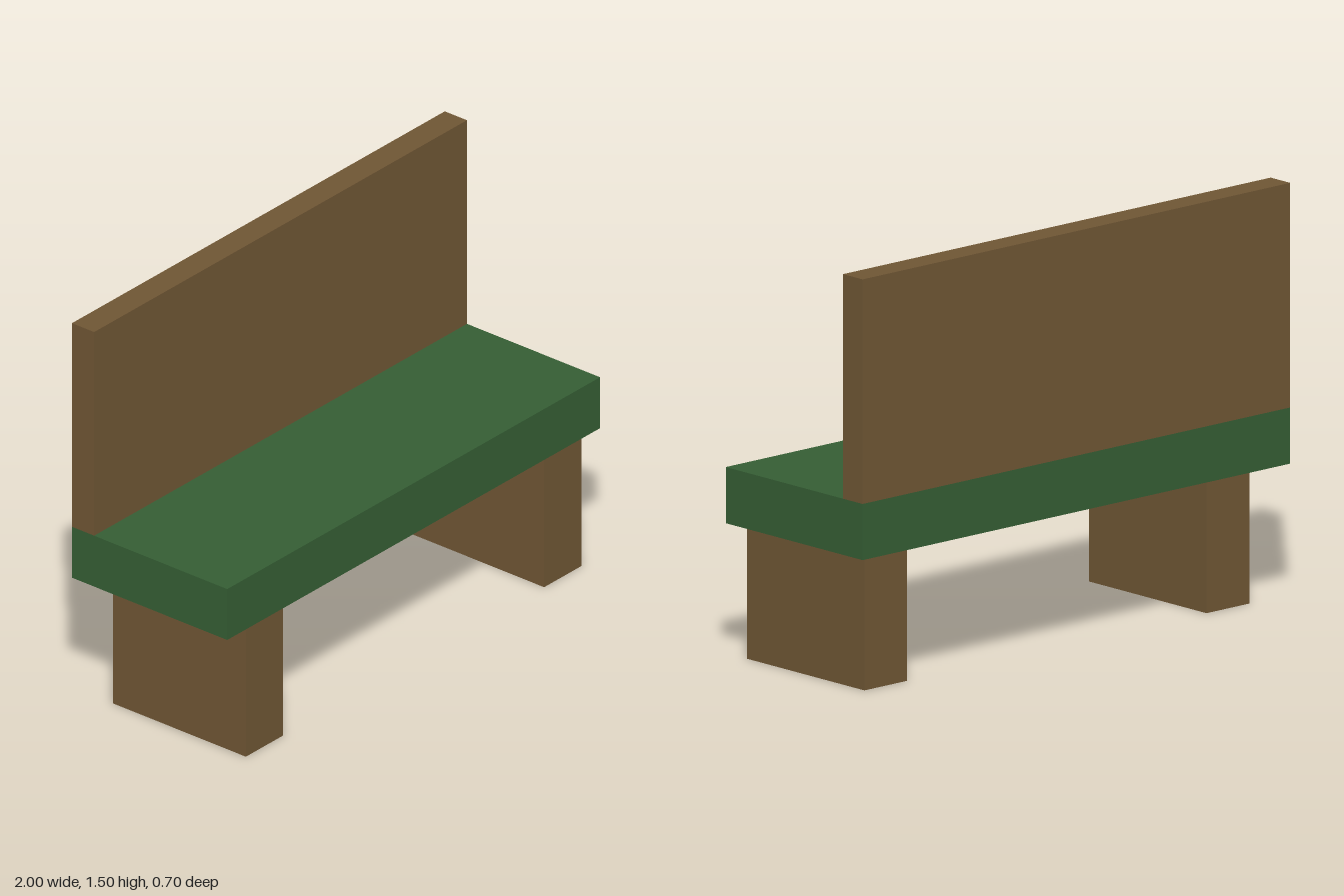
import * as THREE from 'three';

// Box placed by its minimum and maximum corners
function boxBetween(min, max) {
  const size = max.map((v, i) => v - min[i]);
  const geometry = new THREE.BoxGeometry(...size);
  geometry.translate(...max.map((v, i) => (v + min[i]) / 2));
  return geometry;
}

export function createModel() {
  const model = new THREE.Group();
  model.name = 'bench';

  const wood = new THREE.MeshStandardMaterial({ color: 0x6f5634, side: THREE.DoubleSide });
  wood.name = 'brown wood';
  const cushion = new THREE.MeshStandardMaterial({ color: 0x355e34 });
  cushion.name = 'green cushion';

  const add = (name, geometry, material) => {
    const mesh = new THREE.Mesh(geometry, material);
    mesh.name = name;
    model.add(mesh);
  };

  // Seat slab and upright back board
  add('seat', boxBetween([-1, 0.5, -0.35], [1, 0.7, 0.35]), cushion);
  add('backrest', boxBetween([-1, 0.7, -0.35], [1, 1.5, -0.25]), wood);

  // Hollow legs: four walls, open at the floor and against the seat
  for (const [name, x] of [['leftLeg', 0.8], ['rightLeg', -0.8]]) {
    const leg = boxBetween([x - 0.1, 0, -0.25], [x + 0.1, 0.5, 0.35]);
    const index = Array.from(leg.index.array);
    index.splice(12, 12); // drop the top and bottom faces
    leg.setIndex(index);
    leg.clearGroups();
    add(name, leg, wood);
  }

  return model;
}
